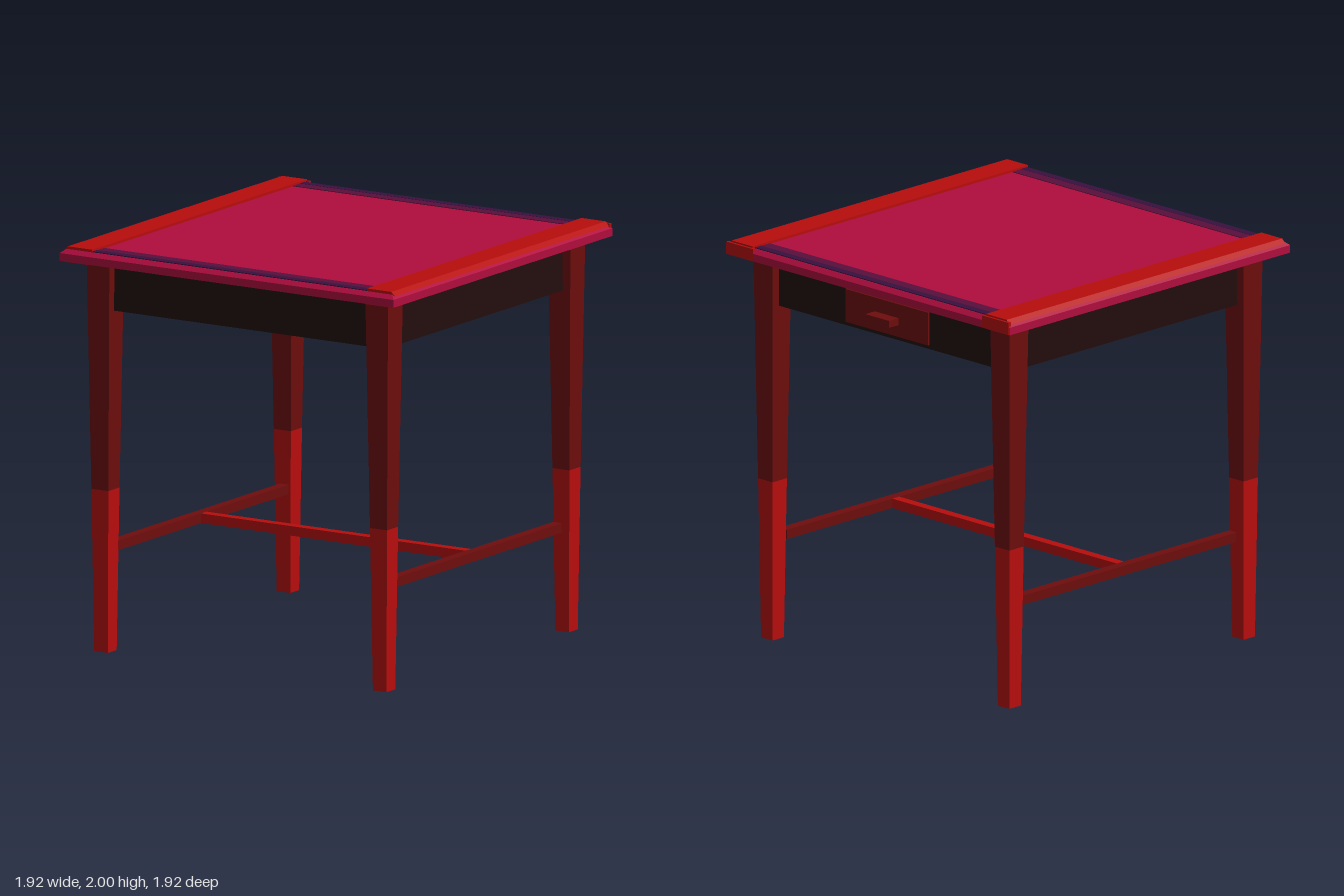
import * as THREE from 'three';

const material = (name, color) => {
  const m = new THREE.MeshStandardMaterial({ color, flatShading: true });
  m.name = name;
  return m;
};

export function createModel() {
  const red = material('bright red', 0xb80d0d);
  const maroon = material('maroon', 0x6e0d0d);
  const black = material('dark brown', 0x230d0d);
  const crimson = material('crimson', 0xb00d3e);
  const plum = material('plum', 0x5a0f3c);
  const violet = material('dark violet', 0x38103f);

  const table = new THREE.Group();
  table.name = 'table';

  const add = (name, geometry, mat, x, y, z) => {
    const mesh = new THREE.Mesh(geometry, mat);
    mesh.name = name;
    mesh.position.set(x, y, z);
    table.add(mesh);
    return mesh;
  };
  // Box given by its min and max on each axis
  const box = (name, mat, [x0, x1], [y0, y1], [z0, z1]) =>
    add(name, new THREE.BoxGeometry(x1 - x0, y1 - y0, z1 - z0), mat,
      (x0 + x1) / 2, (y0 + y1) / 2, (z0 + z1) / 2);
  // Square block tapering from half-width b at y0 to half-width t at y1
  const taper = (name, mat, x, z, y0, b, y1, t) => {
    const g = new THREE.CylinderGeometry(t * Math.SQRT2, b * Math.SQRT2, y1 - y0, 4);
    g.rotateY(Math.PI / 4);
    return add(name, g, mat, x, (y0 + y1) / 2, z);
  };
  const span = (s, a, b) => (s > 0 ? [a, b] : [-b, -a]);

  // Table top with a chamfered rim
  box('tableTop', crimson, [-0.96, 0.96], [1.93, 1.968], [-0.96, 0.96]);
  taper('tableTopChamfer', crimson, 0, 0, 1.968, 0.96, 1.987, 0.937);

  for (const s of [-1, 1]) {
    // Inlaid bands at the front and back of the top
    box('innerBand', plum, [-0.79, 0.79], [1.984, 1.99], span(s, 0.83, 0.89));
    box('outerBand', violet, [-0.79, 0.79], [1.984, 1.991], span(s, 0.89, 0.932));

    // Raised end board with a chamfered outer edge
    const profile = new THREE.Shape([
      [0.79, 1.98], [0.951, 1.98], [0.93, 2], [0.79, 2],
    ].map(([x, y]) => new THREE.Vector2(x * s, y)));
    add('endBoard', new THREE.ExtrudeGeometry(profile, { depth: 1.885, bevelEnabled: false }),
      red, 0, 0, -0.95);
    box('endBoardCap', red, span(s, 0.775, 0.955), [1.932, 1.992], [-0.962, -0.945]);
    box('endBoardUnderside', red, span(s, 0.79, 0.95), [1.927, 1.932], [-0.955, 0.955]);

    // Aprons
    box('sideApron', black, span(s, 0.78, 0.82), [1.685, 1.925], [-0.76, 0.76]);
    box(s > 0 ? 'frontApron' : 'backApron', black, [-0.76, 0.76], [1.685, 1.925], span(s, 0.78, 0.82));

    // Side stretcher
    box('sideStretcher', maroon, span(s, 0.76, 0.81), [0.49, 0.537], [-0.745, 0.745]);

    // Tapered legs, two-toned, with a short peg under the top
    for (const t of [-1, 1]) {
      const x = 0.801 * s, z = 0.801 * t;
      taper('lowerLeg', red, x, z, 0, 0.039, 0.8, 0.049);
      taper('upperLeg', maroon, x, z, 0.8, 0.049, 1.917, 0.065);
      box('legPeg', black, span(s, 0.745, 0.825), [1.9, 1.935], span(t, 0.745, 0.825));
    }
  }

  // Cross stretcher
  box('crossStretcher', red, [-0.76, 0.76], [0.49, 0.537], [-0.024, 0.024]);

  // Drawer in the back apron
  box('drawerFront', maroon, [-0.28, 0.28], [1.705, 1.87], [-0.83, -0.815]);
  box('drawerHandle', maroon, [-0.08, 0.08], [1.765, 1.8], [-0.895, -0.828]);

  return table;
}
